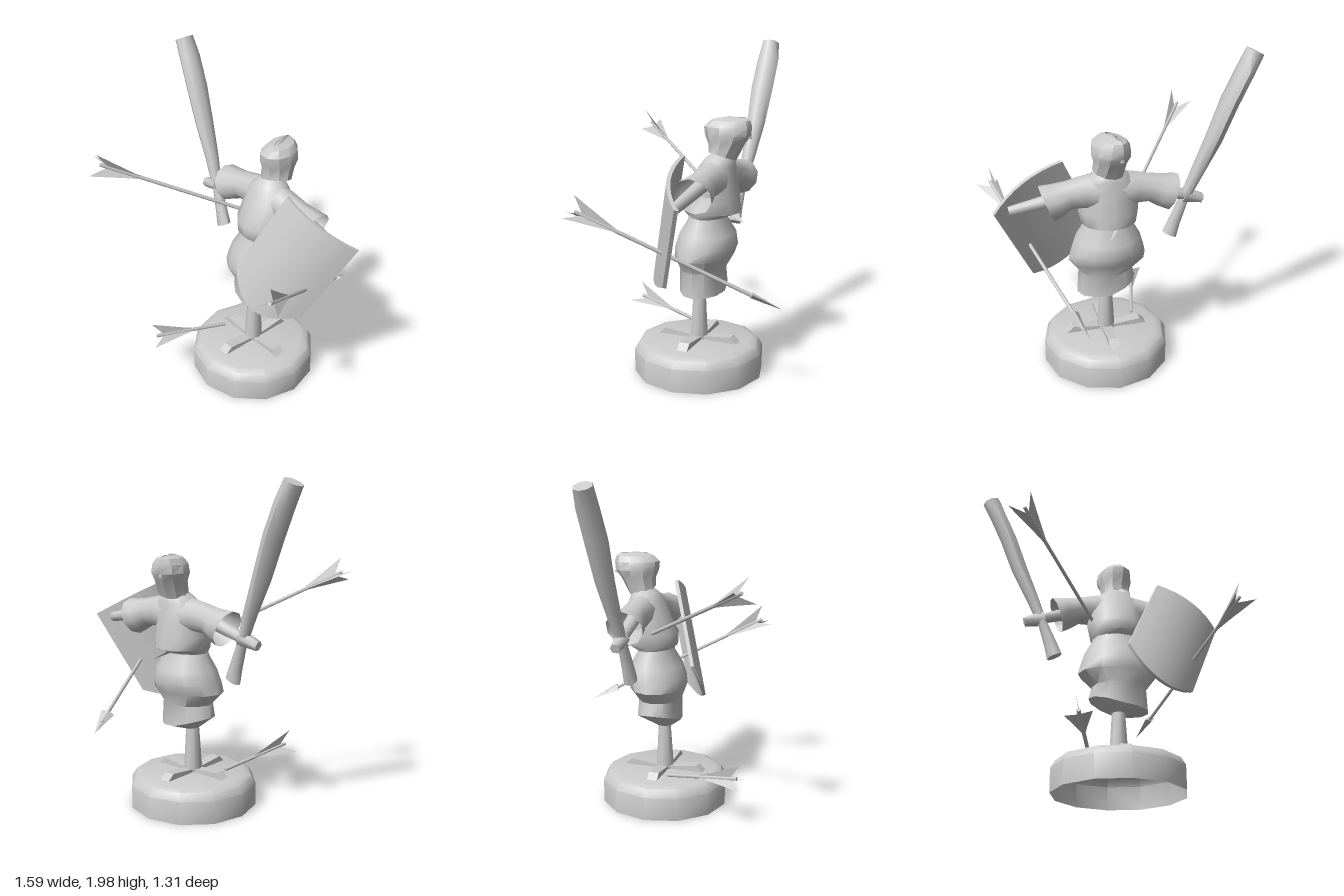
import * as THREE from 'three';
import { toCreasedNormals } from 'three/addons/utils/BufferGeometryUtils.js';

const V = (x, y, z) => new THREE.Vector3(x, y, z);
const mat = new THREE.MeshStandardMaterial({ color: 0xcccccc, side: THREE.DoubleSide });

function add(parent, name, geometry) {
  const mesh = new THREE.Mesh(geometry, mat);
  mesh.name = name;
  parent.add(mesh);
  return mesh;
}

// Elliptical ring around c, spanned by half axes a and b
function ring(c, a, b, n) {
  return Array.from({ length: n }, (_, i) => {
    const t = (i / n) * Math.PI * 2;
    return c.clone().addScaledVector(a, Math.cos(t)).addScaledVector(b, Math.sin(t));
  });
}

// Level ring from its extents in x and z
const levelRing = ([y, x0, x1, z0, z1], n) =>
  ring(V((x0 + x1) / 2, y, (z0 + z1) / 2), V(0, 0, (z1 - z0) / 2), V((x1 - x0) / 2, 0, 0), n);

// Skin through closed rings, optionally closed at both ends
function loft(rings, crease = 0.8, caps = false) {
  const all = rings.slice();
  if (caps) {
    const collapse = r => {
      const c = r.reduce((s, p) => s.add(p), V(0, 0, 0)).divideScalar(r.length);
      return r.map(() => c);
    };
    all.unshift(collapse(all[0]));
    all.push(collapse(all[all.length - 1]));
  }
  const n = all[0].length, idx = [];
  for (let j = 0; j < all.length - 1; j++) for (let i = 0; i < n; i++) {
    const a = j * n + i, b = j * n + (i + 1) % n;
    idx.push(a, b, b + n, a, b + n, a + n);
  }
  const g = new THREE.BufferGeometry().setFromPoints(all.flat());
  g.setIndex(idx);
  return toCreasedNormals(g, crease);
}

// Tapered rod between two points
function rod(p, q, r0, r1, n) {
  const d = q.clone().sub(p);
  const g = new THREE.CylinderGeometry(r1, r0, d.length(), n);
  g.applyQuaternion(new THREE.Quaternion().setFromUnitVectors(V(0, 1, 0), d.clone().normalize()));
  const m = p.clone().add(q).multiplyScalar(0.5);
  return toCreasedNormals(g.translate(m.x, m.y, m.z), 1.1);
}

// Arrow running from its feathered tail to its tip
function arrow(parent, name, tail, tip, hasHead, roll) {
  const group = new THREE.Group();
  group.name = name;
  const d = tip.clone().sub(tail), len = d.length();
  add(group, 'arrowShaft', new THREE.CylinderGeometry(0.011, 0.011, len - 0.1, 6).translate(0, (len - 0.1) / 2, 0));
  if (hasHead) add(group, 'arrowHead', new THREE.ConeGeometry(0.042, 0.19, 4).toNonIndexed()
    .scale(1, 1, 0.4).translate(0, len - 0.095, 0)).geometry.computeVertexNormals();
  const shape = new THREE.Shape([[0, 0.3], [0.03, 0.17], [0.085, -0.04], [0, 0.05]].map(p => new THREE.Vector2(...p)));
  for (let i = 0; i < 3; i++)
    add(group, 'feather', new THREE.ShapeGeometry(shape)).rotation.y = roll + i * Math.PI * 2 / 3;
  group.position.copy(tail);
  group.quaternion.setFromUnitVectors(V(0, 1, 0), d.normalize());
  parent.add(group);
}

export function createModel() {
  const model = new THREE.Group();
  model.name = 'trainingDummy';
  const CX = 0.09, CZ = -0.045;

  // Round base, hollow underneath
  const profile = [[0, 0.2], [0.32, 0.2], [0.365, 0.185], [0.393, 0.14], [0.393, 0]];
  add(model, 'base', toCreasedNormals(new THREE.LatheGeometry(profile.map(p => new THREE.Vector2(...p)), 12), 0.7))
    .position.set(CX, 0, CZ);

  // Four splayed feet, rising a little outwards
  for (let i = 0; i < 4; i++) {
    const s = new THREE.Shape([[0, 0.18], [0.26, 0.195], [0.215, 0.237], [0, 0.215]].map(p => new THREE.Vector2(...p)));
    const g = new THREE.ExtrudeGeometry(s, { depth: 0.064, bevelEnabled: false }).translate(0, 0, -0.032);
    const foot = add(model, 'foot', g);
    foot.position.set(CX, 0, CZ);
    foot.rotation.y = i * Math.PI / 2;
  }

  // Post from base to helmet
  add(model, 'post', rod(V(CX, 0.19, CZ), V(CX, 0.55, CZ - 0.005), 0.058, 0.036, 8));
  add(model, 'neckPost', rod(V(CX, 0.55, -0.05), V(CX, 1.45, -0.2), 0.036, 0.028, 8));

  // Padded skirt with an uneven hem
  const skirt = [
    [0.48, 0.05, 0.13, -0.1, 0], [0.52, -0.085, 0.275, -0.215, 0.055], [0.65, -0.065, 0.265, -0.21, 0.055],
    [0.73, -0.15, 0.325, -0.25, 0.085], [0.79, -0.135, 0.315, -0.275, 0.085], [0.87, -0.11, 0.29, -0.265, 0.06],
    [0.95, -0.065, 0.245, -0.215, 0.01], [1.0, -0.05, 0.23, -0.21, 0]
  ].map(r => levelRing(r, 12));
  skirt[1].forEach(p => { p.y += p.x < CX ? (CX - p.x) * 0.32 : (CX - p.x) * 0.1; });
  add(model, 'skirt', loft(skirt, 0.7));

  // Tunic with flared hem
  add(model, 'tunic', loft([
    [0.97, -0.06, 0.24, -0.22, 0], [1.0, -0.075, 0.255, -0.3, 0.035], [1.07, -0.09, 0.27, -0.295, 0.035],
    [1.17, -0.075, 0.255, -0.275, -0.02], [1.27, -0.06, 0.24, -0.265, -0.06], [1.315, 0, 0.18, -0.255, -0.09],
    [1.345, 0.04, 0.14, -0.23, -0.13]
  ].map(r => levelRing(r, 12)), 0.9));

  // Flared open sleeves, mirrored
  for (const side of [-1, 1]) {
    const sleeve = [
      [0.03, 1.2, 0.12, 0.1, 0], [0.15, 1.2, 0.095, 0.09, 0.01],
      [0.24, 1.19, 0.082, 0.085, 0.02], [0.31, 1.165, 0.095, 0.105, 0.03], [0.37, 1.15, 0.105, 0.115, 0.04]
    ].map(([d, y, ry, rz, lean]) => ring(V(CX + side * d, y, -0.165), V(side * lean, ry, 0), V(0, 0, rz), 10));
    add(model, side < 0 ? 'rightSleeve' : 'leftSleeve', loft(sleeve, 1));
  }

  // Wooden forearms and the gripping hand
  add(model, 'rightForearm', rod(V(-0.1, 1.2, -0.165), V(-0.4, 1.1, -0.145), 0.045, 0.032, 8));
  add(model, 'rightHand', rod(V(-0.36, 1.11, -0.145), V(-0.48, 1.075, -0.14), 0.046, 0.03, 6));
  add(model, 'leftForearm', rod(V(0.28, 1.2, -0.165), V(0.67, 1.12, -0.155), 0.045, 0.03, 8));

  // Helmet, turned slightly to its left and open below
  const helmet = add(model, 'helmet', loft([
    [1.32, -0.095, 0.095, -0.06, 0.1], [1.4, -0.095, 0.095, -0.11, 0.1], [1.45, -0.11, 0.11, -0.145, 0.12],
    [1.5, -0.1, 0.1, -0.15, 0.125], [1.535, -0.07, 0.07, -0.14, 0.09], [1.55, -0.015, 0.015, -0.12, 0.05]
  ].map((r, j) => levelRing(r, 10).map(p => {
    if (j === 0) p.y += p.z * 0.3 - p.x * -0.15;
    return p;
  })), 0.5));
  helmet.position.set(CX + 0.01, 0, -0.215);
  helmet.rotation.y = 0.3;
  const crest = add(helmet, 'crest', new THREE.TorusGeometry(0.115, 0.014, 5, 10, Math.PI));
  crest.rotation.y = Math.PI / 2;
  crest.position.set(0, 1.43, -0.02);

  // Wooden club, leaning outward
  const club = [
    [-0.29, 0.85, -0.125, 0.05, 0.04], [-0.315, 0.93, -0.13, 0.042, 0.036], [-0.365, 1.07, -0.14, 0.03, 0.03],
    [-0.44, 1.26, -0.16, 0.04, 0.045], [-0.525, 1.46, -0.175, 0.051, 0.06], [-0.605, 1.68, -0.185, 0.054, 0.072],
    [-0.68, 1.85, -0.195, 0.054, 0.07], [-0.732, 1.96, -0.195, 0.057, 0.056]
  ].map(([x, y, z, rx, rz]) => ring(V(x, y, z), V(rx * 0.9, rx * 0.42, 0), V(0, 0, rz), 8));
  add(model, 'club', loft(club, 0.9, true));

  // Bowed shield with a rounded lower edge
  const corner = V(0.125, 0.86, 0.13), across = V(0.415, -0.22, -0.15), up = V(0.225, 0.5, -0.18);
  const out = across.clone().cross(up).normalize(), N = 8;
  const shieldRow = (s, front) => {
    const point = (t, off) => {
      const bow = 1 - (2 * t - 1) ** 2;
      return corner.clone().addScaledVector(across, t).addScaledVector(up, s - 0.25 * bow * (1 - s))
        .addScaledVector(out, 0.06 * bow + off);
    };
    const ts = Array.from({ length: N + 1 }, (_, i) => i / N);
    return [...ts.map(t => point(t, front)), ...ts.reverse().map(t => point(t, -0.022))];
  };
  add(model, 'shield', loft([shieldRow(0, -0.022), ...[0, 0.25, 0.5, 0.75, 1].map(s => shieldRow(s, 0)),
    shieldRow(1, -0.022)], 0.7));

  // Arrows through tunic, shield and base
  arrow(model, 'tunicArrow', V(-0.55, 1.43, 0.59), V(0.13, 0.95, -0.34), true, 0.4);
  arrow(model, 'shieldArrow', V(0.72, 1.07, 0.42), V(0.318, 0.53, -0.645), true, 0.9);
  arrow(model, 'baseArrow', V(-0.22, 0.3, 0.5), V(-0.075, 0.205, -0.06), false, 0.1);

  return model;
}
